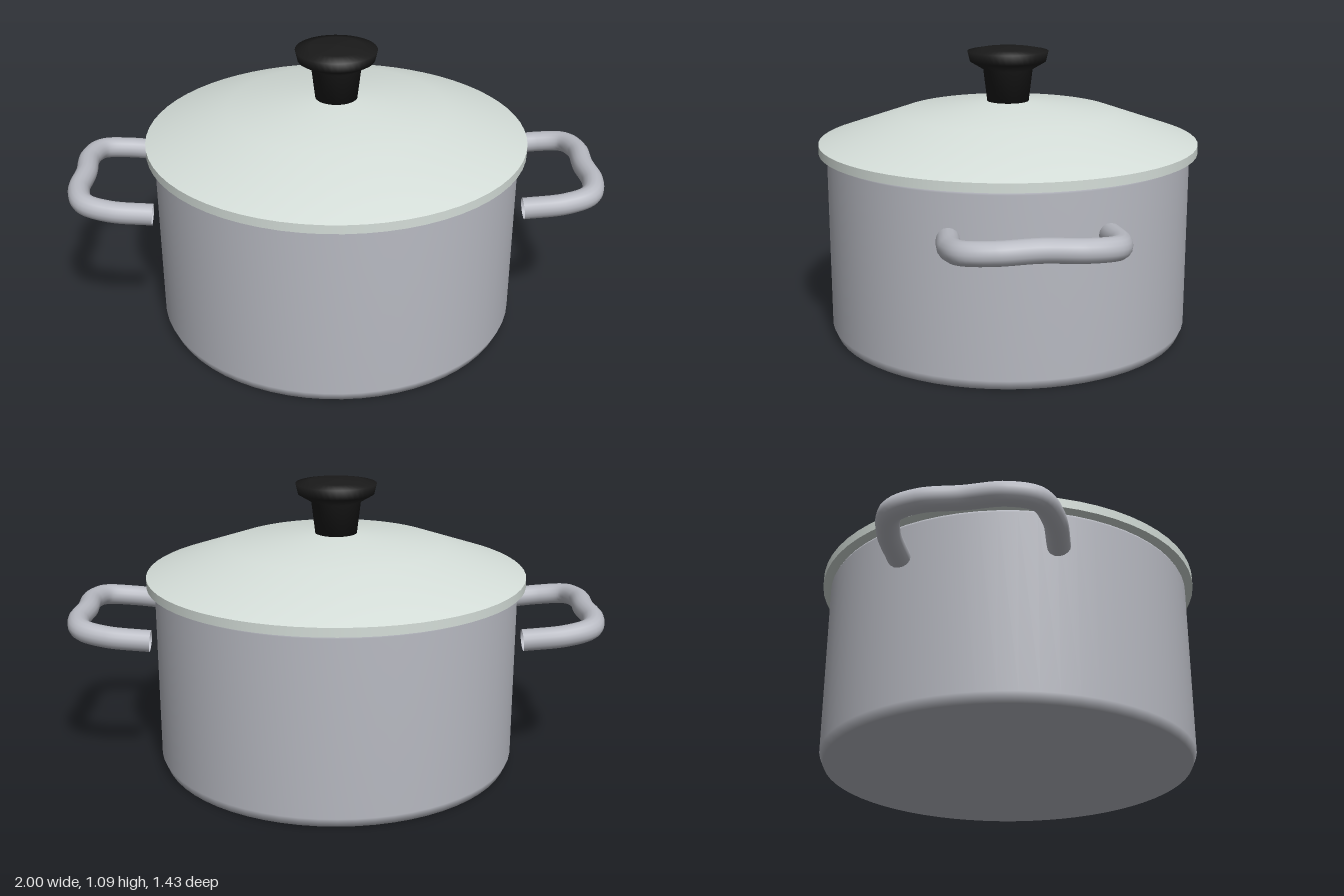
import * as THREE from 'three';

const mat = (name, color, side = THREE.FrontSide) => {
  const m = new THREE.MeshStandardMaterial({ color, side });
  m.name = name;
  return m;
};

// Turned part from [radius, height] pairs, listed from bottom to top
function turned(name, profile, material, segments = 64) {
  const points = profile.map(([r, y]) => new THREE.Vector2(r, y));
  const mesh = new THREE.Mesh(new THREE.LatheGeometry(points, segments), material);
  mesh.name = name;
  return mesh;
}

export function createModel() {
  const steel = mat('steel', 0xb8bac2, THREE.DoubleSide);
  const enamel = mat('pale enamel', 0xd5ded9, THREE.DoubleSide);
  const black = mat('black plastic', 0x1a1a1a);
  const group = new THREE.Group();
  group.name = 'cookingPot';

  // Pot with a bevelled foot and a hollow inside
  group.add(turned('potBody', [
    [0, 0], [0.67, 0], [0.685, 0.035], [0.685, 0.685], [0.68, 0.695],
    [0.655, 0.695], [0.65, 0.68], [0.65, 0.03], [0, 0.03],
  ], steel));

  // Lid: flat underside, upright rim and faceted dome
  group.add(turned('lidUnderside', [[0, 0.7], [0.715, 0.7]], enamel));
  group.add(turned('lidRim', [[0.715, 0.7], [0.715, 0.733]], enamel));
  group.add(turned('lidDome', [[0.715, 0.733], [0.41, 0.84], [0.08, 0.88], [0, 0.88]], enamel));

  // Knob on a flared neck
  group.add(turned('knob', [
    [0, 0.875], [0.078, 0.875], [0.093, 1.0], [0.143, 1.03],
    [0.152, 1.068], [0.1, 1.078], [0, 1.085],
  ], black, 40));

  // Two bent-tube side handles, rising slightly outward
  const path = new THREE.CatmullRomCurve3([
    [0.675, 0.54, 0.27], [0.83, 0.556, 0.27], [0.925, 0.57, 0.235], [0.96, 0.577, 0.14],
    [0.953, 0.58, 0],
    [0.96, 0.577, -0.14], [0.925, 0.57, -0.235], [0.83, 0.556, -0.27], [0.675, 0.54, -0.27],
  ].map((p) => new THREE.Vector3(...p)));
  const tube = new THREE.TubeGeometry(path, 64, 0.04, 16);
  for (const [name, turn] of [['leftHandle', 0], ['rightHandle', Math.PI]]) {
    const handle = new THREE.Mesh(tube, steel);
    handle.name = name;
    handle.rotation.y = turn;
    group.add(handle);
  }
  return group;
}
